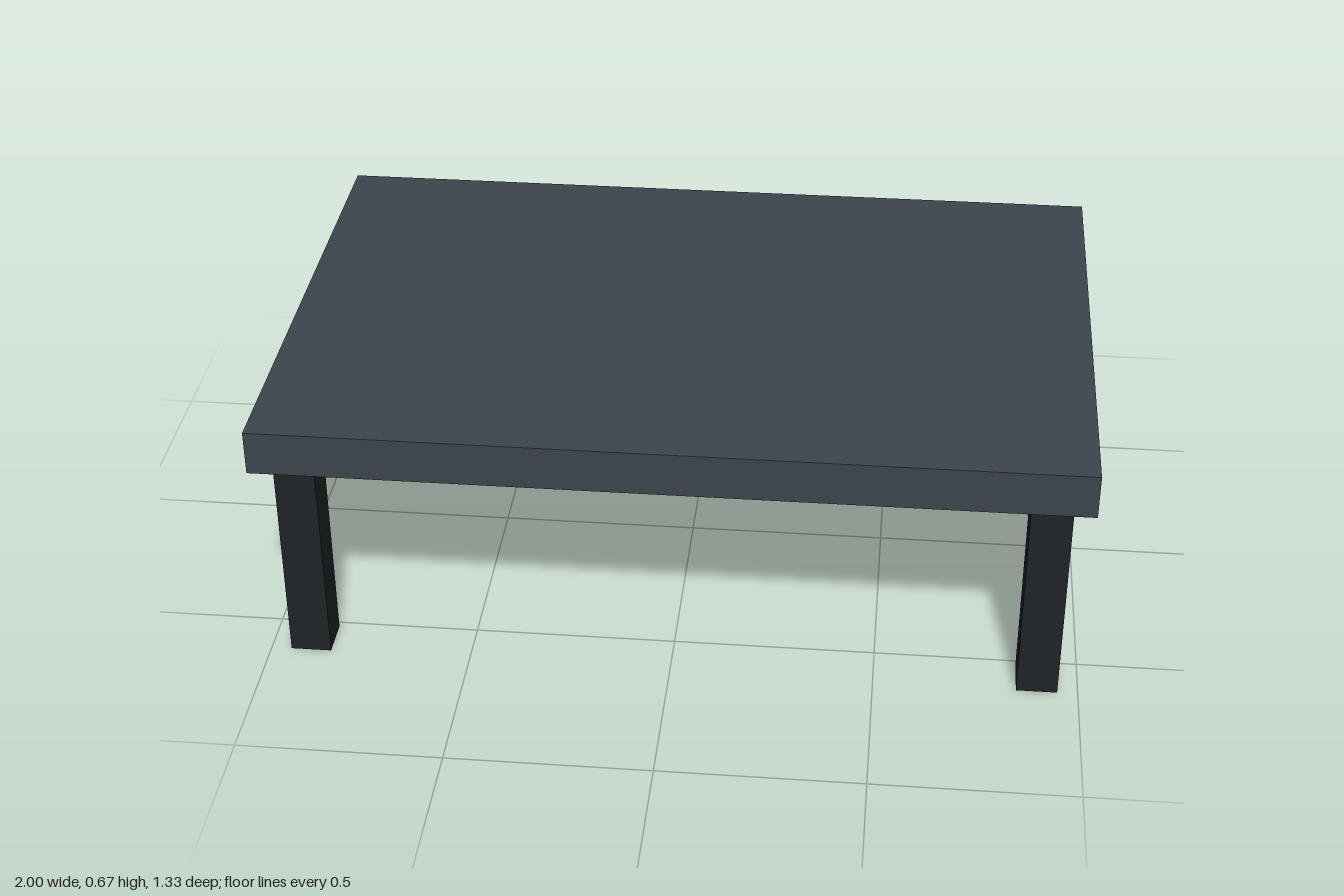
import * as THREE from 'three';

const TOP_Y = 0.667, UNDER_Y = 0.555, LEG = 0.1;

export function createModel() {
  const table = new THREE.Group();
  table.name = 'table';
  const topMaterial = new THREE.MeshStandardMaterial({ color: 0x3c454c });
  const legMaterial = new THREE.MeshStandardMaterial({ color: 0x1f2426 });

  // Thick slab top
  const top = new THREE.Mesh(new THREE.BoxGeometry(2, TOP_Y - UNDER_Y, 1.333), topMaterial);
  top.name = 'tableTop';
  top.position.y = (TOP_Y + UNDER_Y) / 2;
  table.add(top);

  // Four square legs, set in slightly from the corners
  const legGeometry = new THREE.BoxGeometry(LEG, UNDER_Y, LEG);
  for (const [side, x] of [['Left', 0.9], ['Right', -0.9]]) {
    for (const [end, z] of [['front', 0.567], ['back', -0.567]]) {
      const leg = new THREE.Mesh(legGeometry, legMaterial);
      leg.name = `${end}${side}Leg`;
      leg.position.set(x, UNDER_Y / 2, z);
      table.add(leg);
    }
  }
  return table;
}
